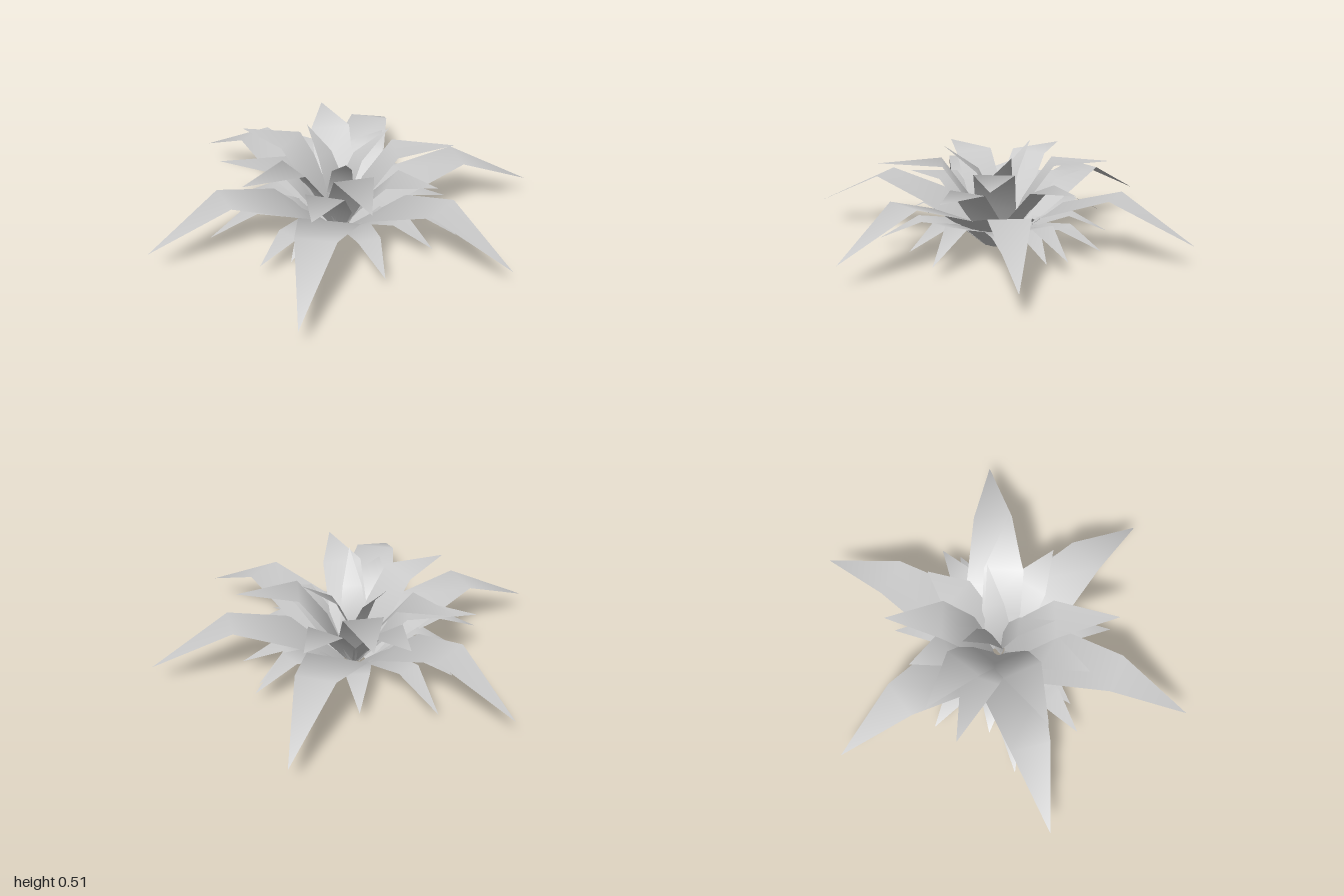
import * as THREE from 'three';

// One tapering leaf: rows of [distance out, height, half width], ending in a point.
function leafGeometry(rows) {
  const pos = [], idx = [];
  rows.forEach(([r, y, w]) => pos.push(-w, y, r, w, y, r));
  for (let i = 0; i < rows.length - 1; i++) {
    const a = i * 2;
    idx.push(a, a + 1, a + 2);
    if (rows[i + 1][2] > 0) idx.push(a + 1, a + 3, a + 2);
  }
  const g = new THREE.BufferGeometry();
  g.setAttribute('position', new THREE.Float32BufferAttribute(pos, 3));
  g.setIndex(idx);
  // smooth bend along the leaf
  g.computeVertexNormals();
  const n = g.attributes.normal, last = rows.length * 2 - 2;
  n.setXYZ(last + 1, n.getX(last), n.getY(last), n.getZ(last));
  return g;
}

export function createModel() {
  const root = new THREE.Group();
  root.name = 'rosettePlant';
  const leafGrey = new THREE.MeshStandardMaterial({ color: 0xcccccc, side: THREE.DoubleSide });
  leafGrey.name = 'leafGrey';

  // Place a whorl of leaves at the given [x, z] tips; profile is built from the tip distance.
  function whorl(name, tips, profile) {
    const group = new THREE.Group();
    group.name = name + 's';
    tips.forEach(([x, z], i) => {
      const leaf = new THREE.Mesh(leafGeometry(profile(Math.hypot(x, z), i)), leafGrey);
      leaf.name = name;
      leaf.rotation.y = Math.atan2(x, z);
      group.add(leaf);
    });
    root.add(group);
  }

  // Long arching outer leaves
  whorl('longLeaf',
    [[0.005, -1], [0.93, -0.44], [0.85, 0.59], [0.075, 0.995], [-0.89, 0.525], [-0.94, -0.405]],
    r => [[0.05, 0, 0.04], [0.3, 0.21, 0.155], [r * 0.61, 0.32, 0.1], [r, 0.12, 0]]);

  // Upper leaves with level tips
  whorl('upperLeaf',
    [[0.43, 0.4], [0.36, -0.44], [-0.14, -0.55], [-0.56, -0.13], [-0.35, 0.49]],
    r => [[0.03, 0, 0.03], [0.13, 0.22, 0.1], [0.28, 0.43, 0.1], [r, 0.43, 0]]);

  // Middle leaves with level tips
  whorl('middleLeaf',
    [[0.17, 0.49], [0.47, -0.1], [0.12, -0.47], [-0.34, -0.52], [-0.46, 0.22]],
    r => [[0.03, 0, 0.03], [0.14, 0.17, 0.1], [0.28, 0.33, 0.1], [r, 0.33, 0]]);

  // Low drooping leaves around the base
  whorl('lowLeaf',
    [[0.14, -0.66], [0.4, -0.39], [0.57, -0.18], [0.62, 0.09], [0.54, 0.15], [0.48, 0.33],
      [0.23, 0.58], [0.03, 0.57], [-0.29, 0.53], [-0.5, 0.3], [-0.48, 0.1], [-0.62, 0.03],
      [-0.59, -0.35], [-0.35, -0.33], [-0.15, -0.53]],
    (r, i) => [[0.07, 0, 0.03], [0.2, 0.12, 0.08], [r * 0.66, 0.19 - 0.02 * (i % 3), 0.06],
      [r, 0.06 + 0.02 * (i % 2), 0]]);

  // Short upright heart leaves
  whorl('heartLeaf',
    [[0, -0.22], [-0.19, 0.2], [0.25, 0.12]],
    r => [[0.01, 0, 0.03], [0.02, 0.2, 0.07], [0.1, 0.38, 0.05], [r, 0.51, 0]]);

  return root;
}
